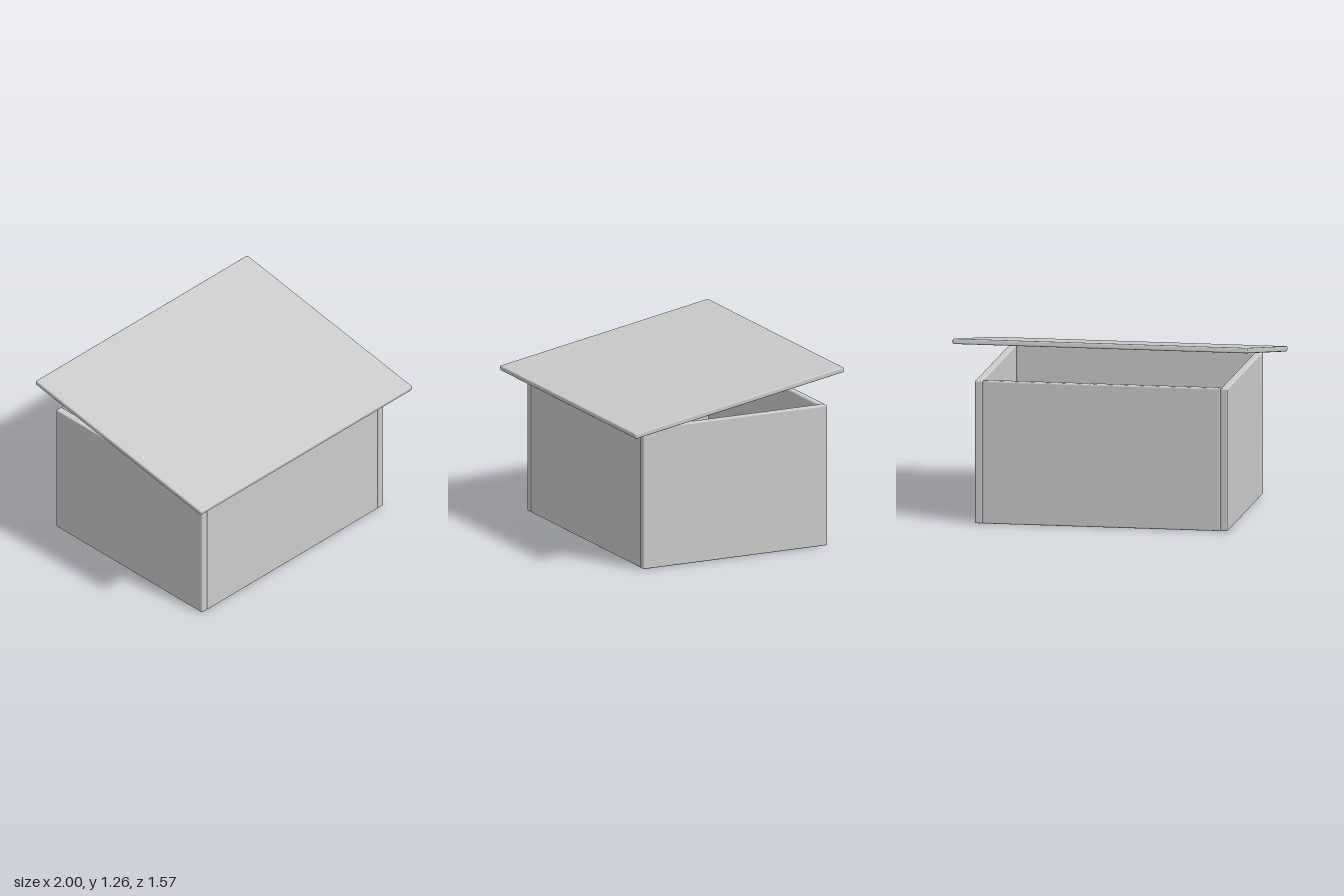
import * as THREE from 'three';
import { RoundedBoxGeometry } from 'three/addons/geometries/RoundedBoxGeometry.js';

const material = new THREE.MeshStandardMaterial({ color: 0xcccccc });

// A board with softly rounded edges
function board(name, w, h, d, x, y, z) {
  const mesh = new THREE.Mesh(new RoundedBoxGeometry(w, h, d, 3, 0.01), material);
  mesh.name = name;
  mesh.position.set(x, y, z);
  return mesh;
}

export function createModel() {
  const group = new THREE.Group();
  group.name = 'boxWithSlopingLid';

  const height = 0.97, thick = 0.05;
  const front = 0.65, back = -0.73, halfWidth = 0.857;
  const y = height / 2;

  // Side walls run the full depth
  for (const [name, s] of [['leftWall', 1], ['rightWall', -1]]) {
    group.add(board(name, thick, height, front - back,
      s * (halfWidth - thick / 2), y, (front + back) / 2));
  }

  // Front and back walls fit between the sides; top and bottom stay open
  const inner = 2 * (halfWidth - thick);
  group.add(board('frontWall', inner, height, thick, 0, y, front - thick / 2));
  group.add(board('backWall', inner, height, thick, 0, y, back + thick / 2));

  // Overhanging lid, resting on the front wall and raised at the back
  const lid = board('lid', 2, 0.036, 1.588, 0, 1.105, 0);
  lid.rotation.x = THREE.MathUtils.degToRad(10);
  group.add(lid);

  return group;
}
